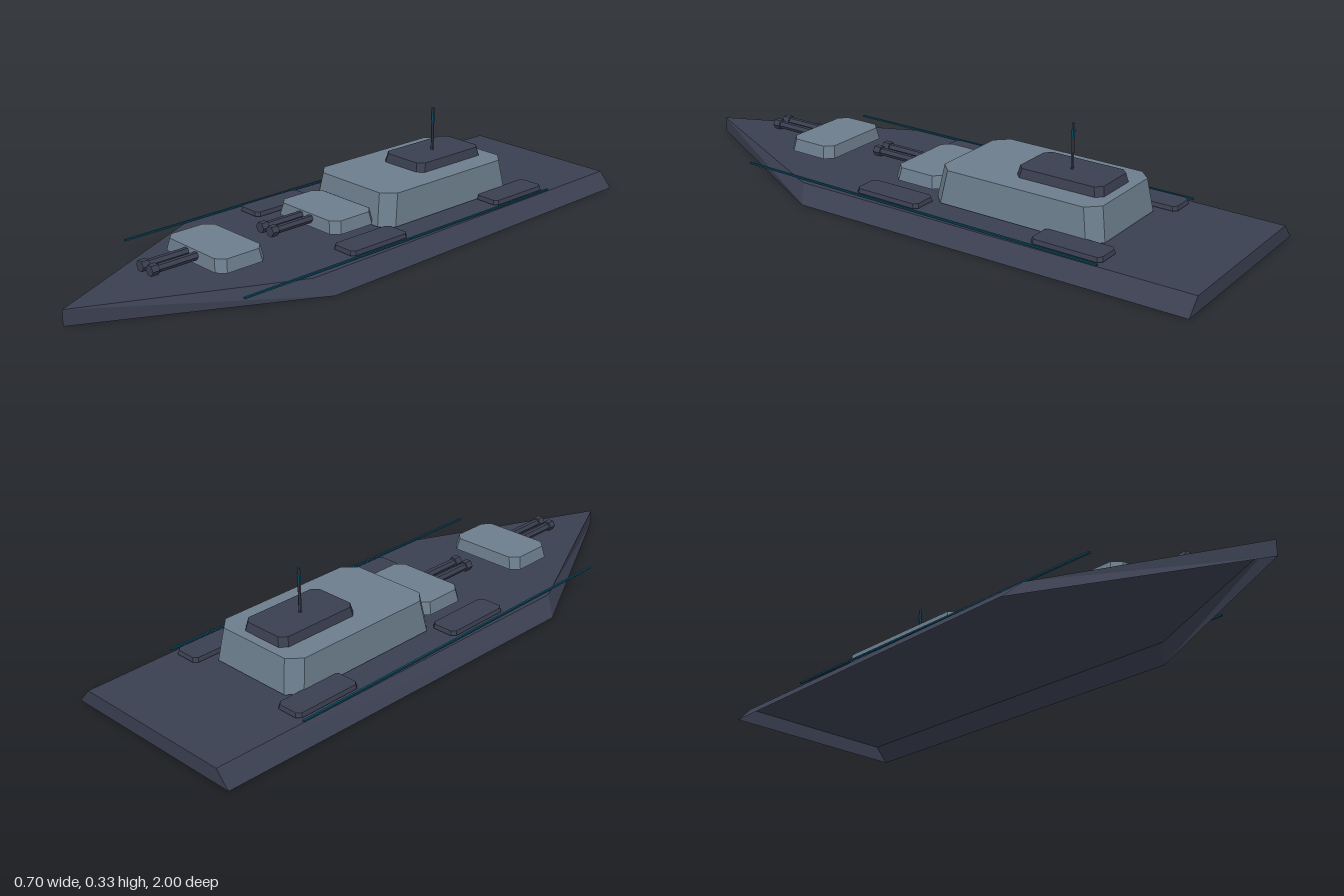
import * as THREE from 'three';

const flat = (name, color, side = THREE.FrontSide) =>
  Object.assign(new THREE.MeshStandardMaterial({ color, flatShading: true, side }), { name });

// Eight-sided outline: a rectangle with cut corners
function cutRect(hx, hz, c, y) {
  return [
    [hx, y, hz - c], [hx, y, -hz + c], [hx - c, y, -hz], [-hx + c, y, -hz],
    [-hx, y, -hz + c], [-hx, y, hz - c], [-hx + c, y, hz], [hx - c, y, hz],
  ];
}

// Joins two outlines (counter-clockwise from above) with walls and optional caps
function loft(low, high, capTop = true, capBottom = true) {
  const pos = [];
  const n = low.length;
  const tri = (a, b, c) => pos.push(...a, ...b, ...c);
  for (let i = 0; i < n; i++) {
    const j = (i + 1) % n;
    tri(low[i], low[j], high[i]);
    tri(low[j], high[j], high[i]);
    if (i > 0 && i < n - 1) {
      if (capTop) tri(high[0], high[i], high[i + 1]);
      if (capBottom) tri(low[0], low[i + 1], low[i]);
    }
  }
  const g = new THREE.BufferGeometry();
  g.setAttribute('position', new THREE.Float32BufferAttribute(pos, 3));
  g.computeVertexNormals();
  return g;
}

// Block with cut corners and walls leaning in towards the top
const block = (hx, hz, cut, y0, y1, inX, inZ) =>
  loft(cutRect(hx, hz, cut, y0), cutRect(hx - inX, hz - inZ, cut, y1));

export function createModel() {
  const model = new THREE.Group();
  const dark = flat('dark slate', 0x3a3f50);
  const hullMat = flat('dark slate hull', 0x3a3f50, THREE.DoubleSide);
  const grey = flat('blue grey', 0x6c7d8c);
  const teal = flat('deep teal', 0x0c4a62);

  const add = (parent, name, geo, mat, x = 0, y = 0, z = 0) => {
    const m = new THREE.Mesh(geo, mat);
    m.name = name;
    m.position.set(x, y, z);
    parent.add(m);
    return m;
  };

  // Hull: flared shell with a deck, open underneath
  const outline = (stern, beam, shoulder, y) => [
    [beam, y, shoulder], [stern, y, -1], [-stern, y, -1], [-beam, y, shoulder], [0, y, 1],
  ];
  add(model, 'hull', loft(outline(0.325, 0.35, 0.32, 0), outline(0.28, 0.3, 0.36, 0.05), true, false), hullMat);

  // Superstructure and upper cabin
  add(model, 'superstructure', block(0.182, 0.295, 0.04, 0.053, 0.158, 0.012, 0.018), grey, 0, 0, -0.345);
  add(model, 'upperCabin', block(0.091, 0.149, 0.02, 0.158, 0.187, 0.006, 0.006), dark, 0, 0, -0.442);

  // Mast with a coloured band
  const mast = (name, r, y0, y1, mat) =>
    add(model, name, new THREE.CylinderGeometry(r, r, y1 - y0, 6), mat, 0, (y0 + y1) / 2, -0.44);
  mast('mast', 0.005, 0.187, 0.33, dark);
  mast('mastBand', 0.006, 0.286, 0.311, teal);

  // Twin-barrel turrets
  const barrelGeo = new THREE.CylinderGeometry(0.013, 0.013, 0.16, 6).rotateX(Math.PI / 2).rotateZ(Math.PI / 6);
  const muzzleGeo = new THREE.CylinderGeometry(0.018, 0.018, 0.025, 6).rotateX(Math.PI / 2).rotateZ(Math.PI / 6);
  for (const [name, z] of [['frontTurret', 0.478], ['rearTurret', 0.038]]) {
    const turret = new THREE.Group();
    turret.name = name;
    turret.position.z = z;
    add(turret, 'turretHousing', block(0.141, 0.09, 0.025, 0.068, 0.108, 0.009, 0.006), grey);
    for (const s of [-1, 1]) {
      add(turret, 'barrel', barrelGeo, dark, s * 0.023, 0.092, 0.155);
      add(turret, 'muzzle', muzzleGeo, dark, s * 0.023, 0.092, 0.237);
    }
    model.add(turret);
  }

  // Deck hatches and side rails, mirrored
  const hatchGeo = block(0.047, 0.118, 0.012, 0.053, 0.067, 0.003, 0.003);
  const railGeo = new THREE.BoxGeometry(0.007, 0.005, 1.3);
  for (const s of [-1, 1]) {
    for (const z of [-0.582, 0.055]) add(model, 'deckHatch', hatchGeo, dark, s * 0.221, 0, z);
    add(model, 'sideRail', railGeo, teal, s * 0.287, 0.0575, -0.05);
  }
  return model;
}
